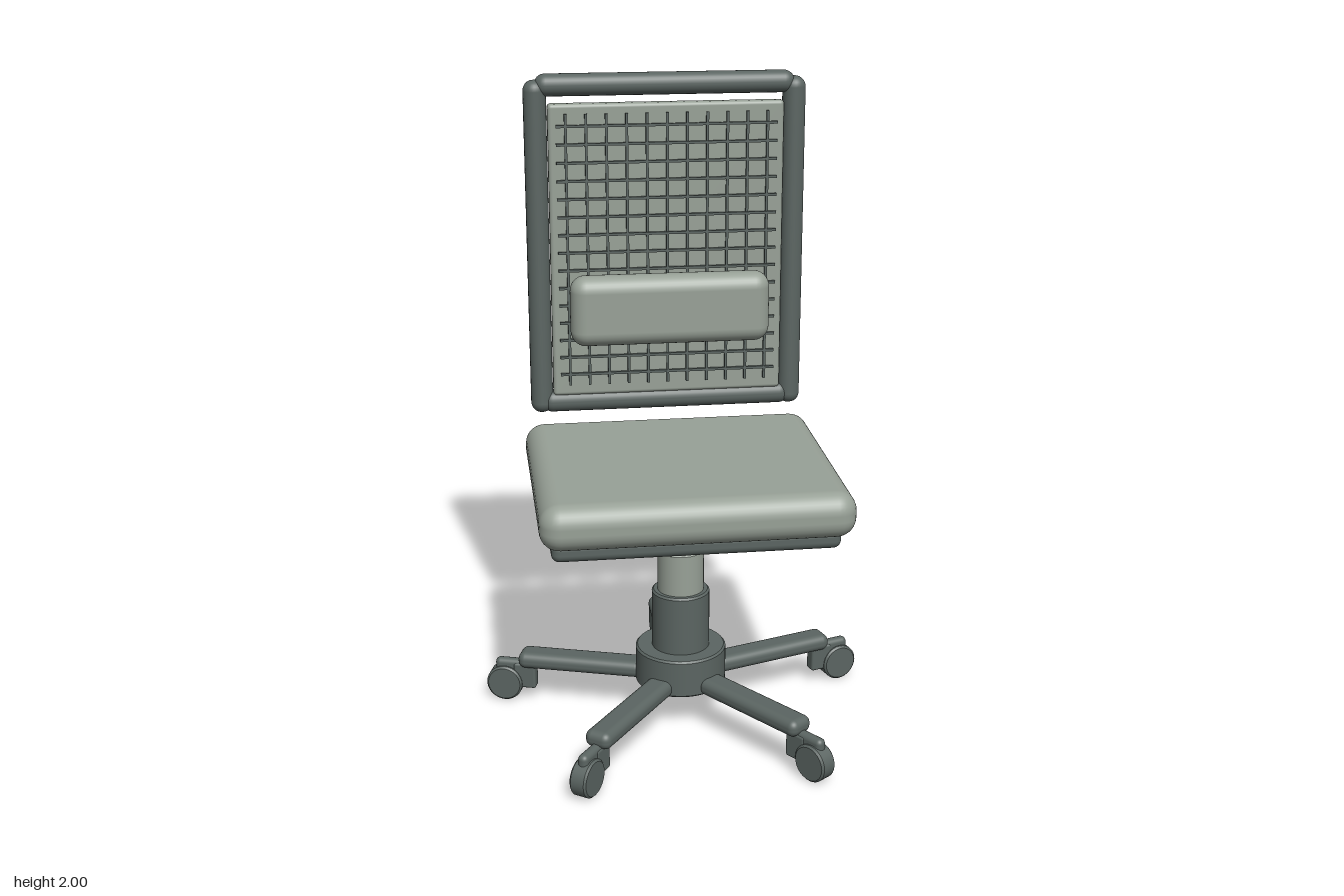
import * as THREE from 'three';
import { RoundedBoxGeometry } from 'three/addons/geometries/RoundedBoxGeometry.js';

const material = (name, color) => {
  const m = new THREE.MeshStandardMaterial({ color });
  m.name = name;
  return m;
};

export function createModel() {
  const fabric = material('light grey fabric', 0x98a197);
  const plastic = material('dark grey plastic', 0x5b6562);
  const model = new THREE.Group();
  model.name = 'officeChair';
  const baseZ = 0.055;

  function add(parent, name, geometry, mat, x = 0, y = 0, z = 0) {
    const mesh = new THREE.Mesh(geometry, mat);
    mesh.name = name;
    mesh.position.set(x, y, z);
    parent.add(mesh);
    return mesh;
  }

  // Rounded box given by its limits on each axis
  function block(parent, name, mat, [x0, x1], [y0, y1], [z0, z1], radius) {
    return add(parent, name, new RoundedBoxGeometry(x1 - x0, y1 - y0, z1 - z0, 4, radius), mat,
      (x0 + x1) / 2, (y0 + y1) / 2, (z0 + z1) / 2);
  }

  // Solid of revolution with a small bevel on both rims
  function drum(radius, y0, y1, bevel, sides = 40) {
    const rings = [[0, y0], [radius - bevel, y0], [radius, y0 + bevel],
      [radius, y1 - bevel], [radius - bevel, y1], [0, y1]];
    // Doubled points keep the rims sharp
    const points = rings.flatMap(([r, y], i) =>
      Array(i > 0 && i < 5 ? 2 : 1).fill(0).map(() => new THREE.Vector2(r, y)));
    const parts = new THREE.LatheGeometry(points, sides);
    return parts;
  }

  // Seat
  block(model, 'seatCushion', fabric, [-0.46, 0.46], [0.752, 0.892], [-0.31, 0.506], 0.06);
  block(model, 'seatPan', plastic, [-0.425, 0.425], [0.702, 0.765], [-0.31, 0.44], 0.025);

  // Gas lift column and hub
  add(model, 'upperColumn', drum(0.056, 0.55, 0.72, 0.003), plastic, 0, 0, baseZ);
  add(model, 'middleColumn', drum(0.073, 0.42, 0.573, 0.004), fabric, 0, 0, baseZ);
  add(model, 'lowerColumn', drum(0.091, 0.23, 0.436, 0.006), plastic, 0, 0, baseZ);
  add(model, 'hub', drum(0.143, 0.122, 0.245, 0.006), plastic, 0, 0, baseZ);

  // Five legs with castors, each built along -z and turned into place
  for (let i = 0; i < 5; i++) {
    const leg = new THREE.Group();
    leg.name = 'leg' + (i + 1);
    leg.position.z = baseZ;
    leg.rotation.y = (i * Math.PI * 2) / 5;
    model.add(leg);
    block(leg, 'arm', plastic, [-0.043, 0.043], [0.122, 0.176], [-0.53, -0.12], 0.024);
    block(leg, 'castorStem', plastic, [-0.02, 0.02], [0.045, 0.13], [-0.55, -0.477], 0.008);
    block(leg, 'castorCover', plastic, [-0.017, 0.017], [0.07, 0.141], [-0.612, -0.5], 0.016);
    const wheel = add(leg, 'wheel', drum(0.059, -0.028, 0.028, 0.006, 28), plastic, 0, 0.059, -0.58);
    wheel.rotation.z = Math.PI / 2;
  }

  // Backrest frame
  const back = new THREE.Group();
  back.name = 'backrest';
  model.add(back);
  const depth = [-0.334, -0.258];
  for (const side of [-1, 1]) {
    const x = side * 0.402;
    block(back, side > 0 ? 'leftPost' : 'rightPost', plastic, [x - 0.035, x + 0.035], [0.925, 1.982], depth, 0.033);
  }
  block(back, 'topRail', plastic, [-0.402, 0.402], [1.932, 2], depth, 0.033);
  block(back, 'bottomRail', plastic, [-0.402, 0.402], [0.925, 0.995], depth, 0.033);

  // Panel, mesh grid and lumbar pad
  block(back, 'backPanel', fabric, [-0.366, 0.366], [0.985, 1.912], [-0.3, -0.258], 0.012);
  const midY = 1.453;
  const vertical = new THREE.BoxGeometry(0.008, 0.86, 0.009);
  const horizontal = new THREE.BoxGeometry(0.685, 0.008, 0.009);
  for (let i = -5; i <= 5; i++) add(back, 'verticalWire', vertical, plastic, i * 0.0625, midY, -0.249);
  for (let i = -7; i <= 7; i++) add(back, 'horizontalWire', horizontal, plastic, 0, midY + i * 0.0562, -0.247);
  block(back, 'lumbarPad', fabric, [-0.313, 0.313], [1.17, 1.392], [-0.246, -0.14], 0.048);

  return model;
}
